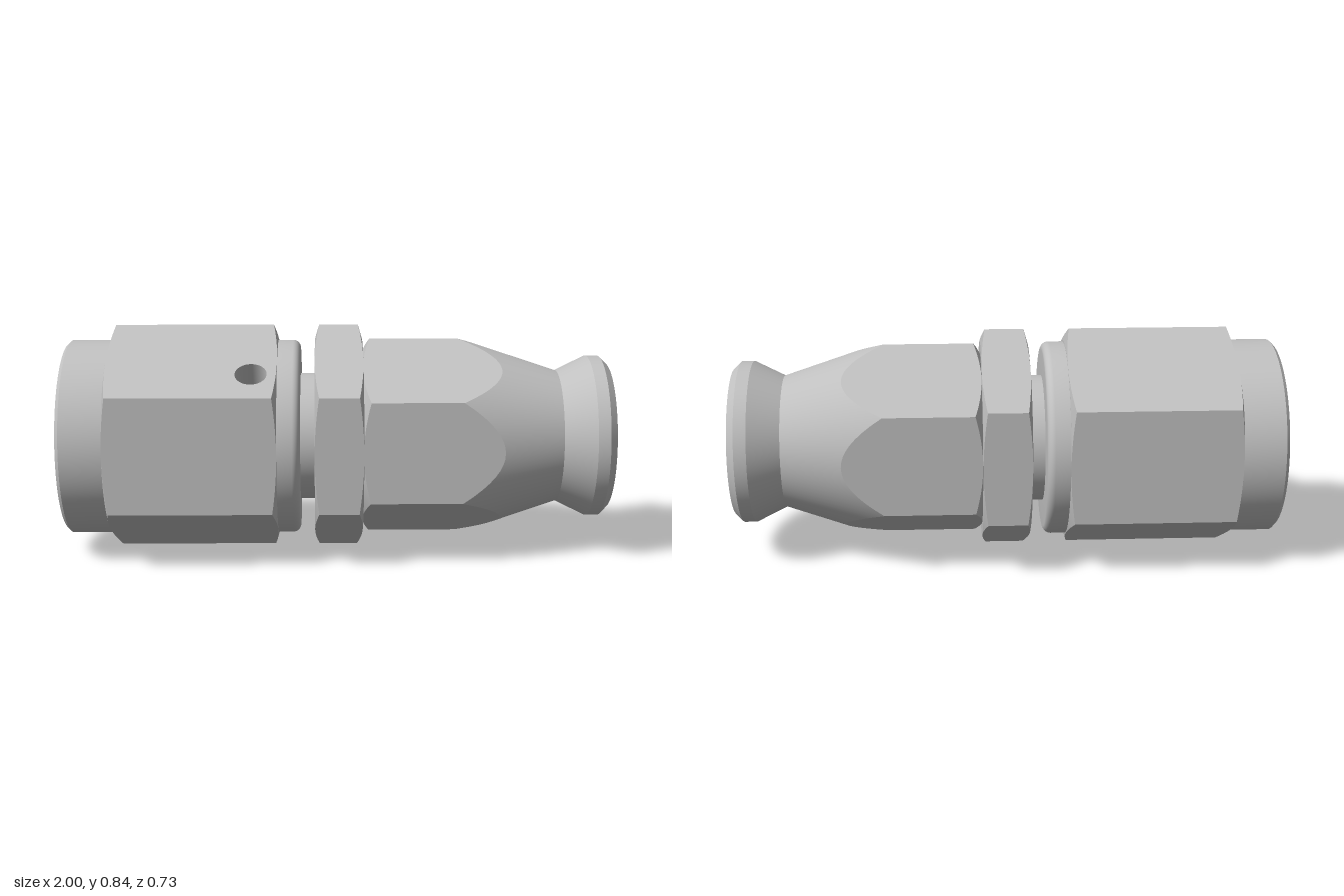
import * as THREE from 'three';
import { toCreasedNormals } from 'three/addons/utils/BufferGeometryUtils.js';

const SEG = 96; // 16 segments per hexagon side
const BIG = 0.364, SMALL = 0.318; // hexagon apothems
const steel = new THREE.MeshStandardMaterial({ color: 0xc0c0c0 });
steel.name = 'steel';

// Distance from axis to hexagon outline; flats face 0, 60, 120... degrees
const fromFlat = (th) => th - Math.round(th / (Math.PI / 3)) * (Math.PI / 3);
const hexRadius = (a, th) => a / Math.cos(fromFlat(th));
// 0 at the middle of a flat, 1 at a corner
const cornerness = (a, th) => (hexRadius(a, th) - a) / (a / Math.cos(Math.PI / 6) - a);

// Sweep a profile of [x, r] points, which may vary with angle, around the x axis
function spin(profile, skip = () => false) {
  const pos = [];
  const ring = (i) => {
    const th = (i % SEG) * Math.PI * 2 / SEG;
    return profile(th).map(([x, r]) => new THREE.Vector3(x, r * Math.sin(th), r * Math.cos(th)));
  };
  const tri = (a, b, c) => {
    if (a.distanceTo(b) < 1e-6 || b.distanceTo(c) < 1e-6 || a.distanceTo(c) < 1e-6) return;
    for (const p of [a, b, c]) pos.push(p.x, p.y, p.z);
  };
  for (let i = 0; i < SEG; i++) {
    const p = ring(i), q = ring(i + 1);
    for (let j = 0; j < p.length - 1; j++) {
      if (skip(i, j)) continue;
      tri(p[j], p[j + 1], q[j + 1]);
      tri(p[j], q[j + 1], q[j]);
    }
  }
  const g = new THREE.BufferGeometry();
  g.setAttribute('position', new THREE.Float32BufferAttribute(pos, 3));
  // enlarged while creasing so that close vertices stay distinct
  g.scale(100, 100, 100);
  return toCreasedNormals(g, 0.2).scale(0.01, 0.01, 0.01);
}

// Outer points of a hexagon chamfered at both ends
const hexBody = (a, x0, x1, w, th) => {
  const k = w * cornerness(a, th), r = hexRadius(a, th);
  return [[x0, a], [x0 + k, r], [x1 - k, r], [x1, a]];
};

export function createModel() {
  const group = new THREE.Group();
  group.name = 'hoseFitting';
  group.position.y = 0.42;
  const add = (name, geometry) => {
    const mesh = new THREE.Mesh(geometry, steel);
    mesh.name = name;
    group.add(mesh);
    return mesh;
  };

  // Socket nut: deep bore, round lip and hexagon, one flat left open for the drilled hole
  const X0 = -0.835, X1 = -0.22, W = 0.016;
  const bore = [[-0.4, 0.065], [-0.4, 0.24], [-0.96, 0.24], [-1, 0.285],
    [-1, 0.347], [-0.987, 0.36], [X0, 0.36]];
  add('socketNut', spin(
    (th) => [...bore, ...hexBody(BIG, X0, X1, W, th), [X1, 0.2]],
    (i, j) => j === bore.length + 1 && i >= 8 && i < 24));

  // The open flat, with its round hole
  const holeX = -0.312, holeT = -0.078, holeR = 0.057;
  const right = [], left = [];
  for (let i = -8; i <= 8; i++) {
    const phi = i * Math.PI * 2 / SEG, k = W * cornerness(BIG, phi), t = BIG * Math.tan(phi);
    right.push(new THREE.Vector2(X1 - k, t));
    left.unshift(new THREE.Vector2(X0 + k, t));
  }
  const flat = new THREE.Shape([...right, ...left]);
  flat.holes.push(new THREE.Path().absarc(holeX, holeT, holeR, 0, Math.PI * 2, true));
  add('drilledFlat', new THREE.ShapeGeometry(flat, 24)
    .translate(0, 0, BIG).rotateX(-Math.PI / 3));
  add('drilledHole', spin(() => [[0, holeR], [-0.12, holeR], [-0.12, 0]])
    .rotateY(Math.PI / -2).translate(holeX, holeT, BIG).rotateX(-Math.PI / 3));

  // Rounded collar behind the socket nut
  const F = 0.028, collar = [[X1, 0.2], [X1, 0.36]];
  for (let i = 0; i <= 10; i++) {
    const a = i * Math.PI / 20;
    collar.push([-0.138 - F + F * Math.sin(a), 0.36 - F + F * Math.cos(a)]);
  }
  collar.push([-0.138, 0.2]);
  add('collar', spin(() => collar));

  add('neck', spin(() => [[-0.16, 0.235], [-0.07, 0.235]]));

  // Thin middle nut
  add('middleNut', spin((th) =>
    [[-0.085, 0.2], ...hexBody(BIG, -0.085, 0.09, W, th), [0.09, 0.2]]));

  // Hose nut: small hexagon running into a cone, then a flared end
  const slope = 0.33;
  add('hoseNut', spin((th) => {
    const r = hexRadius(SMALL, th);
    return [[0.09, SMALL], [0.09 + 0.026 * cornerness(SMALL, th), r],
      [0.815 - (r - 0.245) / slope, r], [0.815, 0.245], [0.927, 0.3],
      [0.972, 0.3], [1, 0.272], [1, 0.065]];
  }));

  // Narrow passage through the whole fitting
  add('passage', spin(() => [[1, 0.065], [-0.4, 0.065]]));

  return group;
}
